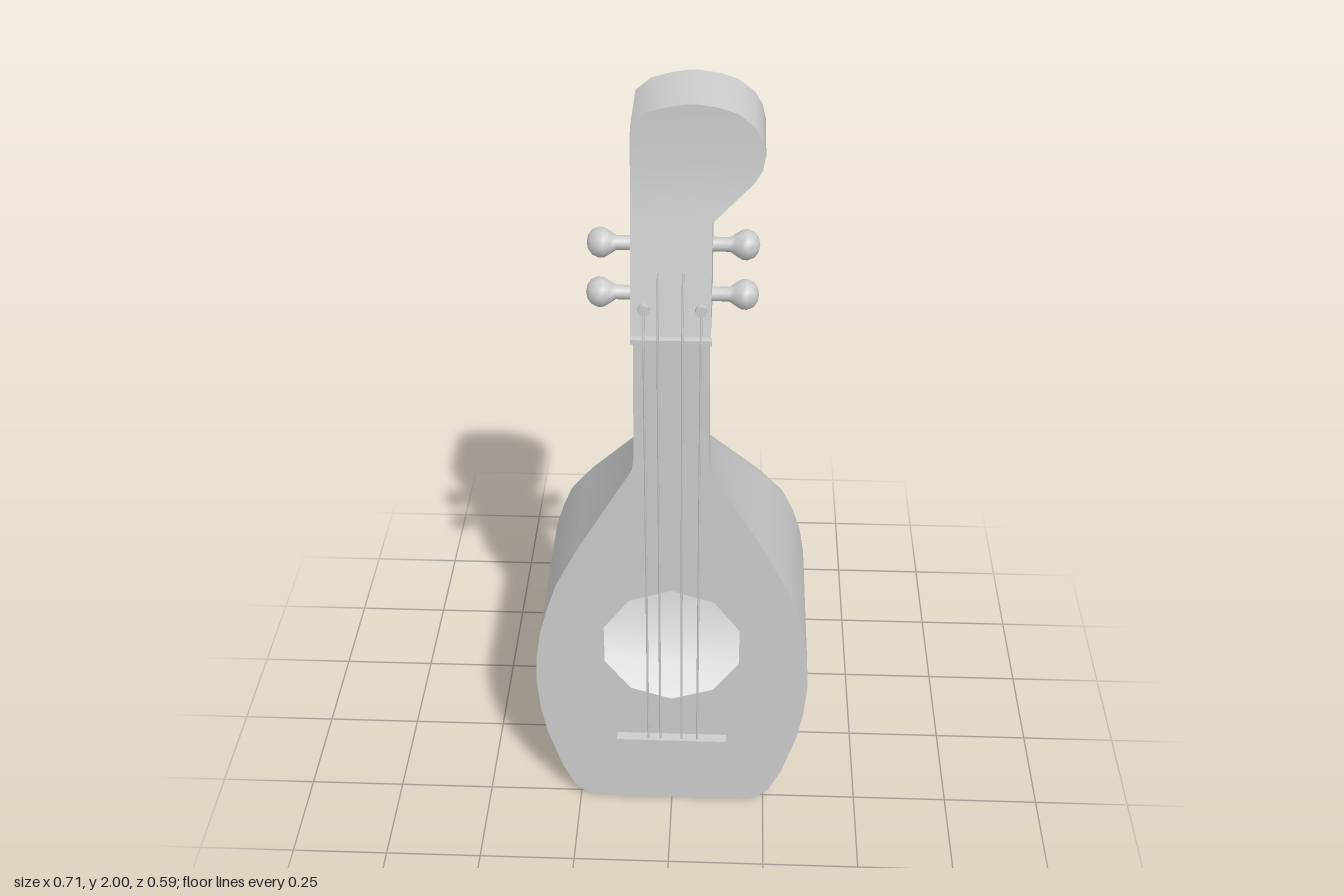
import * as THREE from 'three';
import { toCreasedNormals } from 'three/addons/utils/BufferGeometryUtils.js';

const FRONT = 0.267; // z of the soundboard

// Skin a stack of equal-length rings, bottom to top
function loft(rings, { closed = true, top = true, bottom = true, crease = 0.5 } = {}) {
  const n = rings[0].length, index = [];
  for (let i = 0; i < rings.length - 1; i++) {
    for (let k = 0; k < (closed ? n : n - 1); k++) {
      const k2 = (k + 1) % n;
      const a = i * n + k, b = i * n + k2, c = b + n, d = a + n;
      index.push(a, b, c, a, c, d);
    }
  }
  const last = (rings.length - 1) * n;
  for (let k = 1; k < n - 1; k++) {
    if (bottom) index.push(0, k + 1, k);
    if (top) index.push(last, last + k, last + k + 1);
  }
  const geo = new THREE.BufferGeometry();
  geo.setAttribute('position', new THREE.Float32BufferAttribute(rings.flat(2), 3));
  geo.setIndex(index);
  return toCreasedNormals(geo, crease);
}

// Flat front, straight sides, rounded back corners
function roundedBack(y, w, back, r = 0.085) {
  const ring = [[w, y, FRONT]];
  for (const side of [1, -1]) {
    for (let i = 0; i <= 6; i++) {
      const a = (side > 0 ? i : 6 - i) / 6 * Math.PI / 2;
      ring.push([side * (w - r + r * Math.cos(a)), y, back + r - r * Math.sin(a)]);
    }
  }
  ring.push([-w, y, FRONT]);
  return ring;
}

export function createModel() {
  const model = new THREE.Group();
  const grey = new THREE.MeshStandardMaterial({ color: 0xcccccc, side: THREE.DoubleSide });
  grey.name = 'plain grey';
  const add = (name, geo, x = 0, y = 0, z = 0) => {
    const mesh = new THREE.Mesh(geo, grey);
    mesh.name = name;
    mesh.position.set(x, y, z);
    model.add(mesh);
    return mesh;
  };

  // Hollow bowl: height, half width, back z
  const rows = [
    [0, 0.2, -0.03], [0.01, 0.235, -0.06], [0.04, 0.265, -0.1], [0.11, 0.297, -0.18],
    [0.235, 0.333, -0.245], [0.32, 0.348, -0.275], [0.415, 0.355, -0.291], [0.5, 0.351, -0.288],
    [0.585, 0.338, -0.273], [0.66, 0.318, -0.247], [0.74, 0.292, -0.21], [0.855, 0.235, -0.13],
    [1.1, 0.095, 0.058], [1.135, 0.09, 0.085],
  ];
  add('bowl', loft(rows.map(([y, w, b]) => roundedBack(y, w, b)), { closed: false, top: false }));

  // Soundboard with a ten-sided hole
  const board = new THREE.Shape([
    ...rows.map(([y, w]) => new THREE.Vector2(w, y)),
    ...rows.slice().reverse().map(([y, w]) => new THREE.Vector2(-w, y)),
  ]);
  const hole = [];
  for (let i = 0; i < 10; i++) {
    const a = i / 10 * Math.PI * 2;
    hole.push(new THREE.Vector2(0.183 * Math.sin(a), 0.548 + 0.183 * Math.cos(a)));
  }
  board.holes.push(new THREE.Path(hole));
  add('soundboard', new THREE.ShapeGeometry(board), 0, 0, FRONT);

  add('neck', loft([roundedBack(1.135, 0.09, 0.085), roundedBack(1.47, 0.087, 0.083)]));

  // Headstock: height, right x, left x, front z, back z
  const head = [
    [1.46, 0.09, -0.093, 0.265, 0.07], [1.73, 0.09, -0.093, 0.204, 0.015],
    [1.78, 0.14, -0.093, 0.194, 0.002], [1.82, 0.18, -0.093, 0.188, -0.01],
    [1.85, 0.198, -0.093, 0.185, -0.013], [1.885, 0.204, -0.093, 0.183, -0.014],
    [1.92, 0.196, -0.093, 0.181, -0.014], [1.95, 0.178, -0.091, 0.18, -0.014],
    [1.98, 0.14, -0.055, 0.18, -0.014], [1.993, 0.1, -0.01, 0.18, -0.014],
    [2, 0.055, 0.03, 0.18, -0.014],
  ];
  add('headstock', loft(head.map(([y, r, l, f, b]) =>
    [[r, y, f], [r, y, b], [l, y, b], [l, y, f]])));

  // Tuning pegs with teardrop knobs
  const profile = [[0.017, 0], [0.017, 0.05], [0.026, 0.063], [0.035, 0.078], [0.036, 0.09],
    [0.029, 0.106], [0.016, 0.115], [0, 0.118]].map(([r, y]) => new THREE.Vector2(r, y));
  const pegGeo = new THREE.LatheGeometry(profile, 10);
  for (const [y, z] of [[1.64, 0.13], [1.54, 0.182]]) {
    for (const side of [1, -1]) {
      add('tuningPeg', pegGeo, side * 0.08, y, z).rotation.z = -side * Math.PI / 2;
    }
  }

  // Nut at the top of the neck
  add('nut', new THREE.BoxGeometry(0.186, 0.012, 0.02), 0, 1.465, 0.27);

  // Bridge: saddle bar over a tapered foot
  add('bridgeSaddle', new THREE.BoxGeometry(0.29, 0.018, 0.028), 0, 0.23, 0.28);
  const foot = new THREE.Shape([[-0.145, 0.222], [-0.095, 0.186], [0.095, 0.186], [0.145, 0.222]]
    .map(([x, y]) => new THREE.Vector2(x, y)));
  add('bridgeFoot', new THREE.ExtrudeGeometry(foot, { depth: 0.018, bevelEnabled: false }), 0, 0, 0.266);

  // Strings: x, end height, end z
  for (const [x, y, z] of [[-0.062, 1.54, 0.265], [-0.03, 1.625, 0.245],
    [0.026, 1.625, 0.245], [0.068, 1.54, 0.265]]) {
    const path = new THREE.CurvePath();
    const pts = [[0.225, 0.285], [1.468, 0.283], [y, z]].map(([py, pz]) => new THREE.Vector3(x, py, pz));
    path.add(new THREE.LineCurve3(pts[0], pts[1]));
    path.add(new THREE.LineCurve3(pts[1], pts[2]));
    add('string', new THREE.TubeGeometry(path, 40, 0.003, 5));
  }

  // String posts with small caps
  for (const x of [-0.062, 0.068]) {
    add('stringPost', new THREE.CylinderGeometry(0.008, 0.008, 0.04, 8), x, 1.54, 0.25).rotation.x = Math.PI / 2;
    add('stringPostCap', new THREE.CylinderGeometry(0.014, 0.014, 0.014, 8), x, 1.54, 0.262).rotation.x = Math.PI / 2;
  }
  return model;
}
